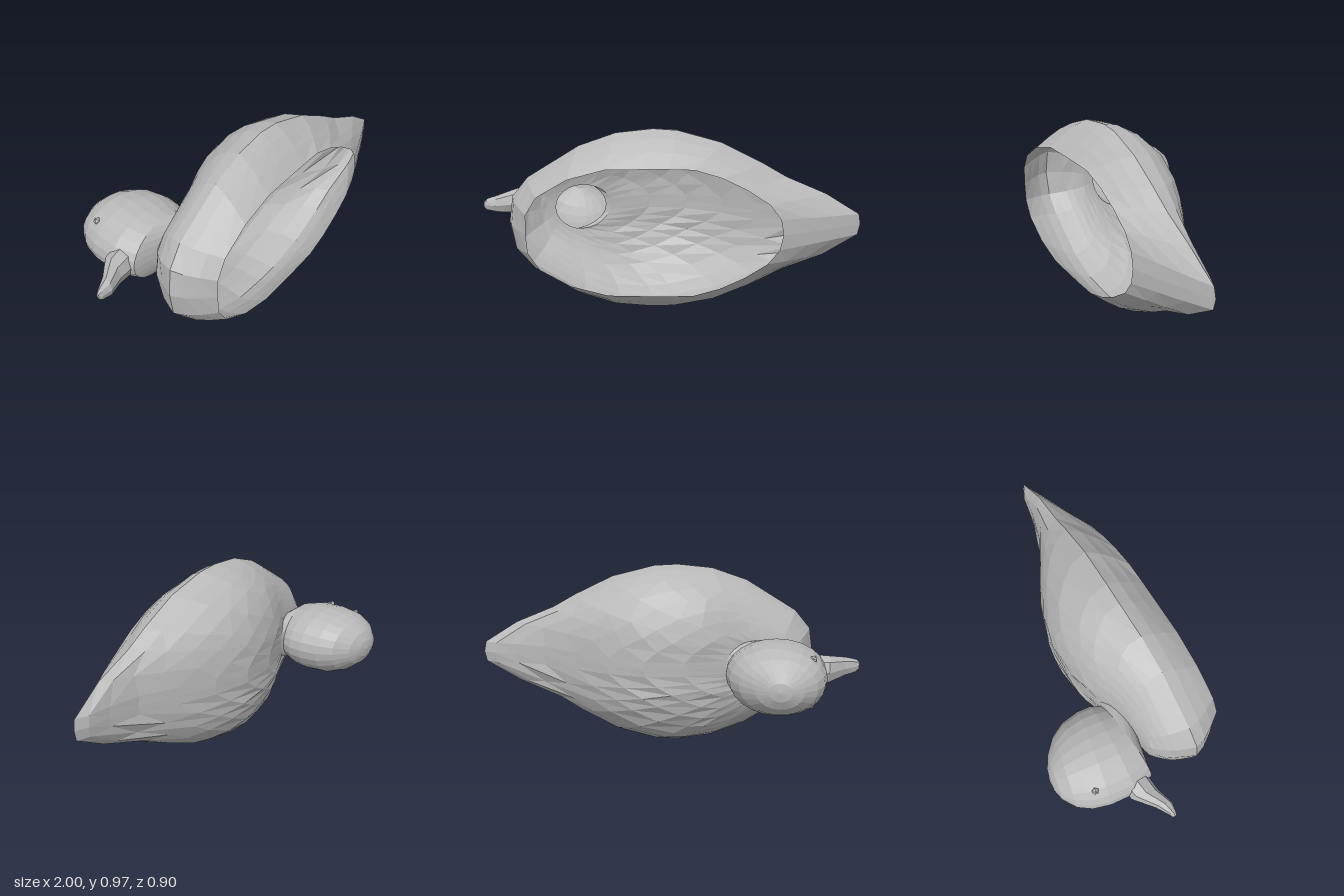
import * as THREE from 'three';

const CY = 0.485; // height of the mirror plane of the bird, which lies on its side (its crown points to -z)

// Outline of the widest line: x, half width, z  (chest to tail)
const OUTLINE = [
  [-0.76, 0, 0.28], [-0.74, 0.135, 0.27], [-0.66, 0.235, 0.25], [-0.4, 0.4, 0.2],
  [-0.22, 0.465, 0.16], [-0.04, 0.485, 0.12], [0.08, 0.478, 0.1], [0.3, 0.42, 0.07],
  [0.5, 0.32, 0.04], [0.62, 0.25, 0.02], [0.82, 0.165, -0.01], [0.99, 0.055, -0.05], [1.0, 0, -0.055],
];
// Rim of the open underside: x, half width
const RIM = [
  [-0.61, 0], [-0.605, 0.1], [-0.55, 0.19], [-0.4, 0.28], [-0.22, 0.33], [-0.04, 0.333],
  [0.08, 0.333], [0.2, 0.33], [0.33, 0.29], [0.45, 0.23], [0.56, 0.155], [0.615, 0.08], [0.63, 0],
];
// Profile of the back: x, z
const BACK = [
  [-0.76, 0.28], [-0.72, 0.13], [-0.66, 0.06], [-0.55, 0.01], [-0.4, -0.05], [-0.25, -0.15], [-0.05, -0.215],
  [0.1, -0.225], [0.3, -0.19], [0.5, -0.12], [0.65, -0.075], [0.85, -0.062], [1.0, -0.08],
];

// Linear lookup in a table sorted by x
function lookup(table, x, col) {
  let i = 1;
  while (i < table.length - 1 && table[i][0] < x) i++;
  const a = table[i - 1], b = table[i];
  const t = THREE.MathUtils.clamp((x - a[0]) / (b[0] - a[0]), 0, 1);
  return a[col] + (b[col] - a[col]) * t;
}

// Complete a half outline to a closed loop [x, offset from mirror plane, ...]
const mirrorLoop = (half) => [
  ...half,
  ...half.slice(1, -1).reverse().map(([x, y, ...rest]) => [x, -y, ...rest]),
];

// Skin a list of closed rings of Vector3
function loft(rings) {
  const n = rings[0].length, pos = [], index = [];
  rings.forEach((ring) => ring.forEach((p) => pos.push(p.x, p.y, p.z)));
  for (let r = 0; r < rings.length - 1; r++) {
    for (let i = 0; i < n; i++) {
      const j = (i + 1) % n;
      const a = r * n + i, b = r * n + j, c = a + n, d = b + n;
      index.push(a, b, d, a, d, c);
    }
  }
  const g = new THREE.BufferGeometry();
  g.setAttribute('position', new THREE.Float32BufferAttribute(pos, 3));
  g.setIndex(index);
  g.computeVertexNormals();
  return g;
}

// Height of the domed back at a point
function backZ(x, off) {
  const side = lookup(OUTLINE, x, 2), top = lookup(BACK, x, 1);
  const f = Math.min(1, Math.abs(off) / Math.max(0.001, lookup(OUTLINE, x, 1)));
  return side + (top - side) * Math.pow(1 - Math.pow(f, 2.6), 0.55);
}

export function createModel() {
  const group = new THREE.Group();
  const grey = new THREE.MeshStandardMaterial({ color: 0xb8b8b8, flatShading: true, side: THREE.DoubleSide });
  grey.name = 'grey';
  const add = (name, geometry) => {
    const mesh = new THREE.Mesh(geometry, grey);
    mesh.name = name;
    group.add(mesh);
    return mesh;
  };

  const outline = mirrorLoop(OUTLINE), rim = mirrorLoop(RIM), n = outline.length;

  // Neck opening in the back, shared by body and head
  const neck = outline.map((_, i) => {
    const a = (i / n) * Math.PI * 2;
    const x = -0.465 - 0.135 * Math.cos(a), off = 0.125 * Math.sin(a);
    return new THREE.Vector3(x, CY + off, backZ(x, off));
  });

  // Hollow body: underside rim, flank, back, neck opening
  const bodyRings = [];
  for (const t of [1, 0.66, 0.33]) {
    bodyRings.push(outline.map(([x, off, z], i) => {
      const [rx, roff] = rim[i];
      const round = x > 0.6 ? 0.1 : 0.6;
      const k = round * Math.cos(t * Math.PI / 2) + (1 - round) * (1 - t);
      const rimZ = 0.315 - 0.205 * rx;
      return new THREE.Vector3(rx + (x - rx) * k, CY + roff + (off - roff) * k, z + (rimZ - z) * t);
    }));
  }
  for (const s of [1, 0.95, 0.86, 0.74, 0.6, 0.45, 0.3, 0.15]) {
    bodyRings.push(outline.map(([ox, ooff, oz], i) => {
      const x = neck[i].x + (ox - neck[i].x) * s;
      const off = (neck[i].y - CY) * (1 - s) + ooff * s;
      return new THREE.Vector3(x, CY + off, s === 1 ? oz : backZ(x, off));
    }));
  }
  bodyRings.push(neck);
  add('body', loft(bodyRings));

  // Hollow head: centre x, z, x radius, y radius, tilt
  const headRings = [
    [-0.565, -0.03, 0.21, 0.145, 0.06], [-0.585, -0.11, 0.245, 0.168, 0.035], [-0.592, -0.21, 0.248, 0.176, 0],
    [-0.6, -0.3, 0.228, 0.168, 0], [-0.61, -0.37, 0.185, 0.138, 0], [-0.62, -0.425, 0.115, 0.09, 0],
    [-0.625, -0.448, 0.055, 0.045, 0], [-0.625, -0.455, 0, 0, 0],
  ].map(([cx, cz, rx, ry, tilt]) => neck.map((_, i) => {
    const a = (i / n) * Math.PI * 2;
    return new THREE.Vector3(cx - rx * Math.cos(a), CY + ry * Math.sin(a), cz + tilt * Math.cos(a));
  }));
  add('head', loft([neck, ...headRings]));

  // Beak: x, z, half width, half height
  const beakRings = [
    [-0.74, -0.07, 0.085, 0.075], [-0.85, -0.035, 0.072, 0.07], [-0.93, 0.035, 0.05, 0.042],
    [-0.985, 0.06, 0.034, 0.018], [-1.0, 0.063, 0.018, 0.01], [-1.0, 0.063, 0, 0],
  ].map(([x, z, hy, hz]) => Array.from({ length: 8 }, (_, i) => {
    const a = (i / 8) * Math.PI * 2;
    return new THREE.Vector3(x, CY + hy * Math.cos(a), z - hz * Math.sin(a));
  }));
  add('beak', loft(beakRings));

  // Small eyes on both sides of the head
  for (const side of [1, -1]) {
    const eye = add(side > 0 ? 'upperEye' : 'lowerEye', new THREE.IcosahedronGeometry(0.02, 0));
    eye.position.set(-0.765, CY + side * 0.114, -0.265);
  }

  return group;
}
